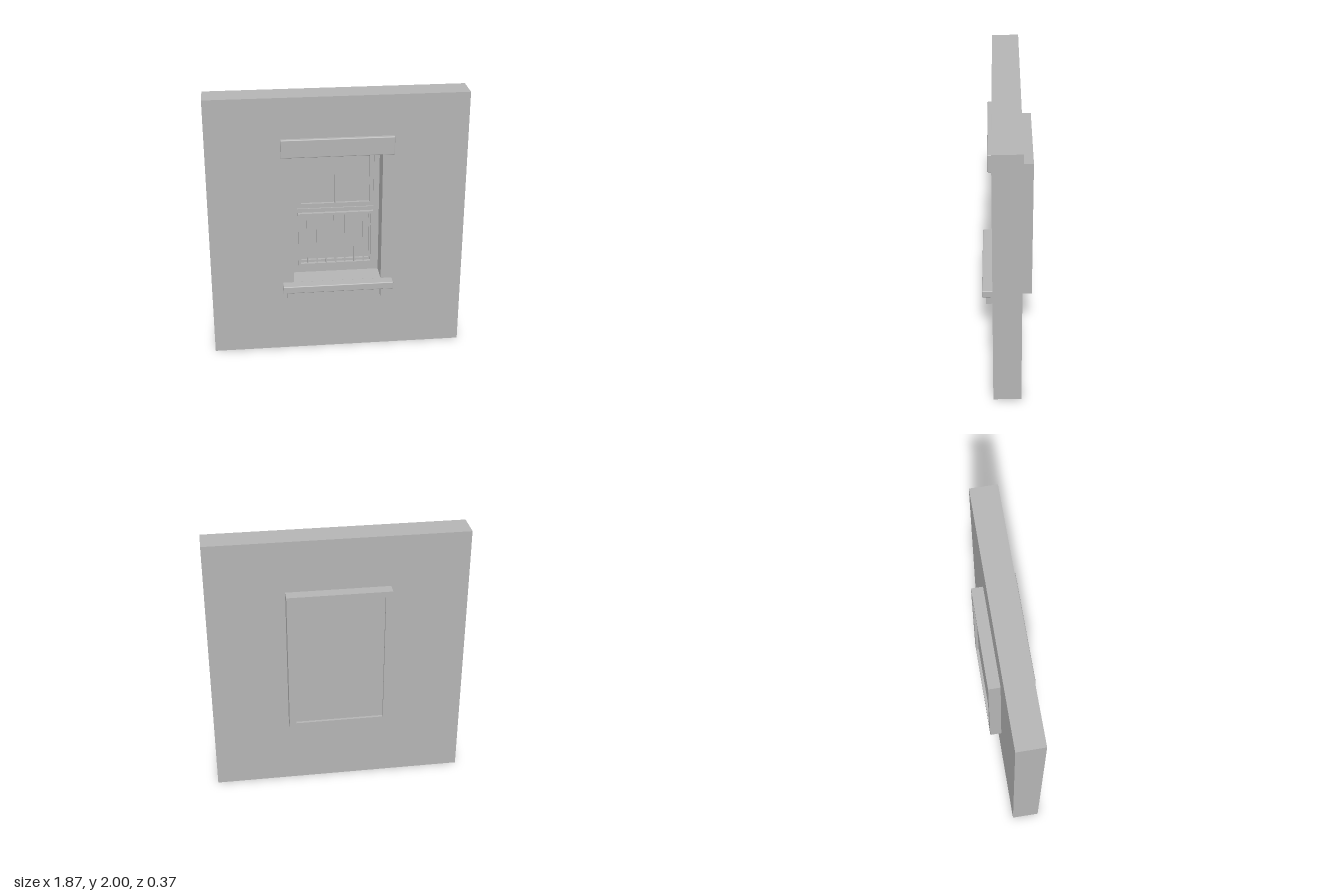
import * as THREE from 'three';
import { RoundedBoxGeometry } from 'three/addons/geometries/RoundedBoxGeometry.js';

export function createModel() {
  const model = new THREE.Group();
  model.name = 'windowWall';
  const grey = new THREE.MeshStandardMaterial({ color: 0xb4b4b4 });
  grey.name = 'plain grey';

  const add = (name, geometry, parent = model) => {
    const mesh = new THREE.Mesh(geometry, grey);
    mesh.name = name;
    parent.add(mesh);
    return mesh;
  };
  const rect = (P, [x0, x1, y0, y1]) => {
    const p = new P();
    p.moveTo(x0, y0);
    p.lineTo(x1, y0);
    p.lineTo(x1, y1);
    p.lineTo(x0, y1);
    p.closePath();
    return p;
  };
  // Flat panel between two depths with rectangular holes; bounds are x0, x1, y0, y1
  const panel = (name, outer, holes, z0, z1, parent) => {
    const shape = rect(THREE.Shape, outer);
    for (const h of holes) shape.holes.push(rect(THREE.Path, h));
    const g = new THREE.ExtrudeGeometry(shape, { depth: z1 - z0, bevelEnabled: false });
    g.translate(0, 0, z0);
    return add(name, g, parent);
  };
  // Box with softened edges
  const softBox = (name, [x0, x1, y0, y1], z0, z1) => {
    const g = new RoundedBoxGeometry(x1 - x0, y1 - y0, z1 - z0, 2, 0.006);
    g.translate((x0 + x1) / 2, (y0 + y1) / 2, (z0 + z1) / 2);
    return add(name, g);
  };

  // Wall, and the casing around the opening at the back
  const opening = [-0.325, 0.325, 0.56, 1.57];
  panel('wall', [-0.935, 0.935, 0, 2], [opening], -0.1, 0.1);
  panel('backCasing', [-0.375, 0.375, 0.52, 1.615], [opening], -0.185, -0.1);

  // Window frame with an upper and a lower light
  const upper = [-0.285, 0.285, 1.085, 1.525];
  const lower = [-0.28, 0.28, 0.61, 1.055];
  panel('windowFrame', opening, [upper, lower], -0.14, -0.06);
  panel('backPanel', opening, [], -0.165, -0.14);

  // Each sash holds two panes divided by a slim bar
  const sash = (name, bounds, y0, y1, z) => {
    const group = new THREE.Group();
    group.name = name;
    model.add(group);
    panel('sashFrame', bounds, [[-0.255, -0.007, y0, y1], [0.007, 0.255, y0, y1]], z - 0.02, z, group);
    panel('glass', bounds, [], z - 0.03, z - 0.02, group);
  };
  sash('upperSash', upper, 1.12, 1.49, -0.07);
  sash('lowerSash', lower, 0.645, 1.015, -0.09);

  // Guard grille in front of the lower light
  const grille = new THREE.Group();
  grille.name = 'grille';
  model.add(grille);
  panel('grilleFrame', [-0.28, 0.28, 0.622, 1.055], [[-0.263, 0.263, 0.642, 1.038]], -0.06, -0.035, grille);
  for (let i = -3; i <= 3; i++) {
    const x = i * 0.07;
    panel('grilleBar', [x - 0.005, x + 0.005, 0.64, 1.04], [], -0.053, -0.042, grille);
  }

  // Header board, sill and its two brackets
  softBox('header', [-0.405, 0.405, 1.565, 1.7], 0.1, 0.132);
  softBox('sill', [-0.41, 0.41, 0.51, 0.565], 0.1, 0.18);
  for (const side of [-1, 1]) {
    const g = new THREE.BoxGeometry(0.06, 0.082, 0.052);
    g.translate(side * 0.35, 0.471, 0.126);
    add(side > 0 ? 'leftBracket' : 'rightBracket', g);
  }
  return model;
}
